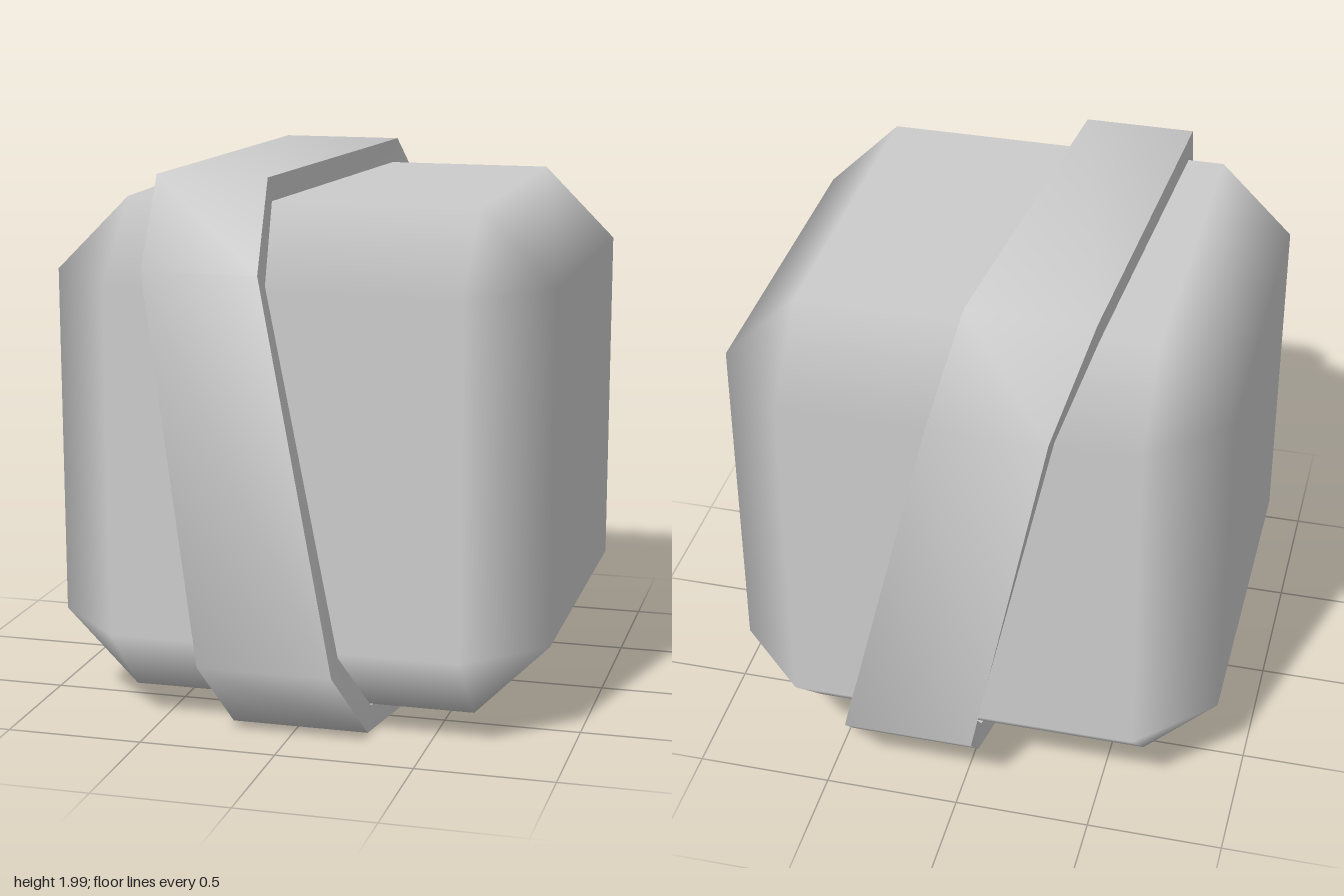
import * as THREE from 'three';

const CENTER_Y = 0.996;
const material = new THREE.MeshStandardMaterial({ color: 0xcccccc });

function makeMesh(name, positions, index, normals) {
  const g = new THREE.BufferGeometry();
  g.setAttribute('position', new THREE.Float32BufferAttribute(positions, 3));
  g.setIndex(index);
  if (normals) g.setAttribute('normal', new THREE.Float32BufferAttribute(normals, 3));
  else g.computeVertexNormals();
  const mesh = new THREE.Mesh(g, material);
  mesh.name = name;
  return mesh;
}

// Cube with one wide chamfer per edge; each corner keeps its face's normal so the chamfers shade round
function chamferedCube(half, flat) {
  const pos = [], nor = [], index = [], pts = [];
  const sign = (bits, axis) => ((bits >> axis) & 1 ? 1 : -1);
  for (let a = 0; a < 3; a++) {
    for (let b = 0; b < 8; b++) {
      const p = [0, 1, 2].map((k) => sign(b, k) * (k === a ? half : flat));
      pts.push(new THREE.Vector3(...p));
      pos.push(...p);
      nor.push(...[0, 1, 2].map((k) => (k === a ? sign(b, k) : 0)));
    }
  }
  const id = (axis, bits) => axis * 8 + bits;
  // adds a convex polygon, wound to face outward
  const addFace = (ids) => {
    const [p, q, r] = ids.map((i) => pts[i]);
    const n = q.clone().sub(p).cross(r.clone().sub(p));
    const f = n.dot(p) > 0 ? ids : [...ids].reverse();
    for (let i = 1; i < f.length - 1; i++) index.push(f[0], f[i], f[i + 1]);
  };
  for (let a = 0; a < 3; a++) {
    const A = 1 << a, b = (a + 1) % 3, c = (a + 2) % 3, B = 1 << b, C = 1 << c;
    // flat sides
    for (const s of [0, A]) addFace([s, s | B, s | B | C, s | C].map((k) => id(a, k)));
    // chamfers running along axis a
    for (const s of [0, B, C, B | C]) addFace([id(b, s), id(b, s | A), id(c, s | A), id(c, s)]);
  }
  // corner triangles
  for (let k = 0; k < 8; k++) addFace([id(0, k), id(1, k), id(2, k)]);
  const mesh = makeMesh('chamferedCube', pos, index, nor);
  mesh.position.y = CENTER_Y;
  return mesh;
}

// Slanted octagonal band: left and right x of the rim at each corner,
// going from the top front over the back and underneath to the front
function slantedBand() {
  const rim = [
    [-0.505, -0.1], [-0.435, 0.02], [-0.34, 0.08], [-0.06, 0.42],
    [-0.01, 0.49], [-0.245, 0.26], [-0.285, 0.205], [-0.465, -0.05],
  ];
  // octagon corners as [y, z], in the same order
  const octagon = (half, flat) => [
    [half, flat], [half, -flat], [flat, -half], [-flat, -half],
    [-half, -flat], [-half, flat], [-flat, half], [flat, half],
  ];
  const outer = octagon(0.996, 0.7), inner = octagon(0.908, 0.652);
  const loop = (side, ring) => rim.map((x, i) => [x[side], ring[i][0], ring[i][1]]);
  const group = new THREE.Group();
  group.name = 'slantedBand';
  group.position.y = CENTER_Y;
  // closed strip between two loops
  const addStrip = (name, a, b) => {
    const index = [], n = a.length;
    for (let i = 0; i < n; i++) {
      const j = (i + 1) % n;
      index.push(i, n + i, j, j, n + i, n + j);
    }
    group.add(makeMesh(name, [...a, ...b].flat(), index));
  };
  addStrip('bandOutside', loop(0, outer), loop(1, outer));
  addStrip('bandLeftWall', loop(1, outer), loop(1, inner));
  addStrip('bandInside', loop(1, inner), loop(0, inner));
  addStrip('bandRightWall', loop(0, inner), loop(0, outer));
  return group;
}

export function createModel() {
  const model = new THREE.Group();
  model.name = 'bandedCube';
  model.add(chamferedCube(0.907, 0.637), slantedBand());
  return model;
}
